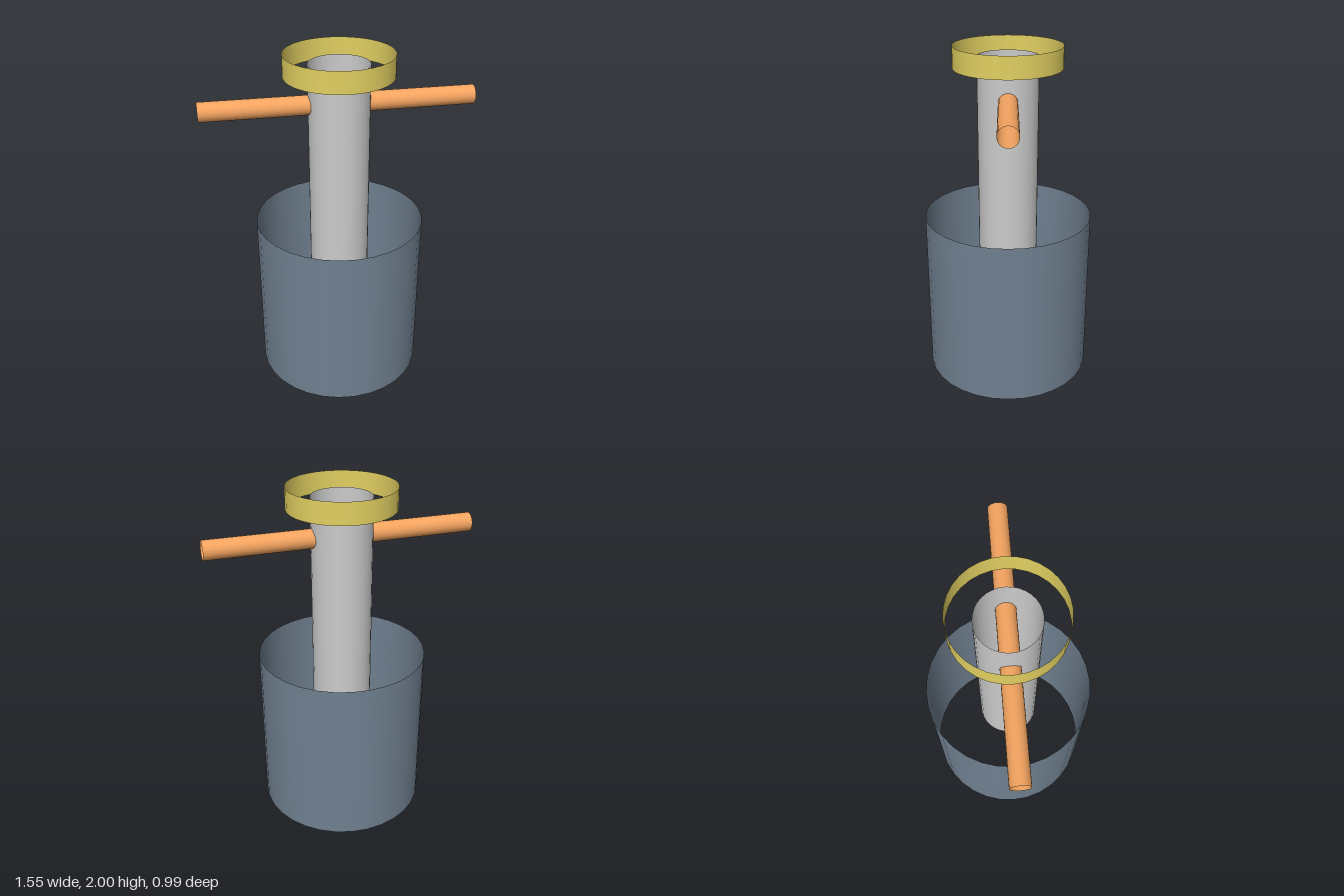
import * as THREE from 'three';

// Open-ended thin tube standing on the y axis, from y = bottom to y = top
function tube(name, color, radius, bottom, top, segments = 32) {
  const geometry = new THREE.CylinderGeometry(radius, radius, top - bottom, segments, 1, true);
  const material = new THREE.MeshStandardMaterial({ color, side: THREE.DoubleSide });
  const mesh = new THREE.Mesh(geometry, material);
  mesh.name = name;
  mesh.position.y = (bottom + top) / 2;
  return mesh;
}

export function createModel() {
  const model = new THREE.Group();
  model.name = 'plunger';

  // Wide open barrel, the post rising from inside it, and the ring around the post's top
  model.add(tube('barrel', 0x708090, 0.495, 0, 1));
  model.add(tube('post', 0xcccccc, 0.175, 0.63, 1.94));
  model.add(tube('topRing', 0xe2d062, 0.31, 1.875, 2));

  // Cross handle running straight through the post
  const handle = tube('crossHandle', 0xf4a460, 0.055, -0.775, 0.775, 24);
  handle.rotation.z = Math.PI / 2;
  handle.position.y = 1.717;
  model.add(handle);

  return model;
}
